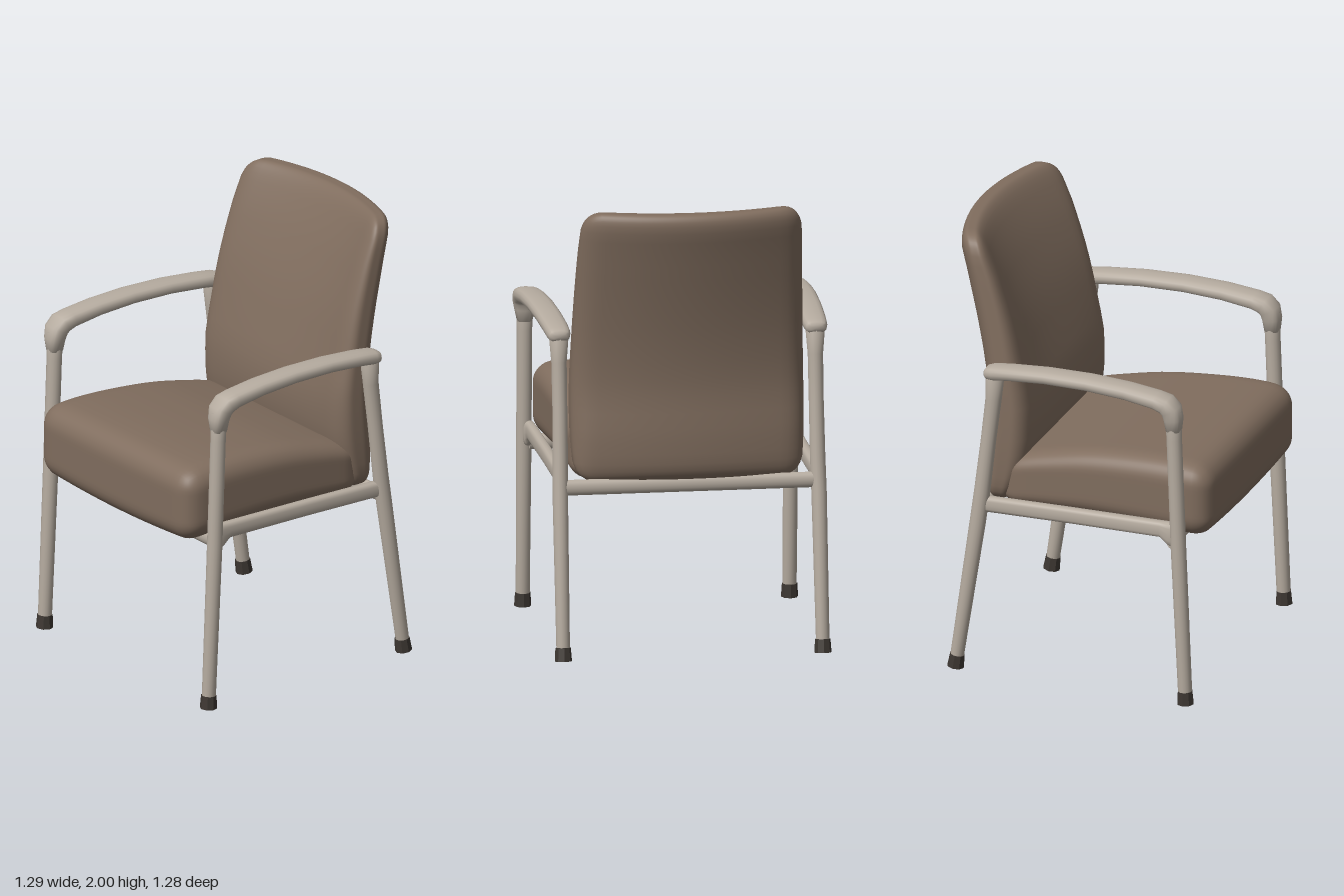
import * as THREE from 'three';
import { mergeVertices } from 'three/addons/utils/BufferGeometryUtils.js';

const fabric = new THREE.MeshStandardMaterial({ color: 0x806d5e });
fabric.name = 'brown upholstery';
const metal = new THREE.MeshStandardMaterial({ color: 0xb6aca0 });
metal.name = 'warm grey frame';
const rubber = new THREE.MeshStandardMaterial({ color: 0x3d3732 });
rubber.name = 'dark rubber';

function part(name, geometry, material) {
  const mesh = new THREE.Mesh(geometry, material);
  mesh.name = name;
  return mesh;
}

// Smooth table of evenly spaced values, read with t from 0 to 1
function table(...values) {
  const curve = new THREE.SplineCurve(values.map((v, i) => new THREE.Vector2(i, v)));
  return (t) => curve.getPoint(THREE.MathUtils.clamp(t, 0, 1)).y;
}

// Rounded box, finer towards its edges, then reshaped by a rule
function cushion(hx, hy, hz, r, warp) {
  let g = new THREE.BoxGeometry(2, 2, 2, 28, 24, 28);
  g.deleteAttribute('uv');
  g.deleteAttribute('normal');
  g = mergeVertices(g, 1e-4);
  const half = new THREE.Vector3(hx, hy, hz);
  const limit = half.clone().subScalar(r);
  const low = limit.clone().negate();
  const p = new THREE.Vector3(), inner = new THREE.Vector3();
  const pos = g.attributes.position;
  for (let i = 0; i < pos.count; i++) {
    p.fromBufferAttribute(pos, i);
    p.set(Math.sin(p.x * Math.PI / 2), Math.sin(p.y * Math.PI / 2), Math.sin(p.z * Math.PI / 2)).multiply(half);
    inner.copy(p).clamp(low, limit);
    p.sub(inner).setLength(r).add(inner).divide(half);
    warp(p);
    pos.setXYZ(i, p.x, p.y, p.z);
  }
  g.computeVertexNormals();
  return g;
}

// Oval tube through sections [x, y, z, half width in x, half thickness]
function ovalTube(sections, sides = 16, power = 1) {
  const pos = [], index = [];
  const last = sections.length - 1;
  const shape = (v) => Math.sign(v) * Math.abs(v) ** power;
  sections.forEach(([x, y, z, hx, ht], i) => {
    const a = sections[Math.max(i - 1, 0)], b = sections[Math.min(i + 1, last)];
    const len = Math.hypot(b[1] - a[1], b[2] - a[2]);
    const ty = (b[1] - a[1]) / len, tz = (b[2] - a[2]) / len;
    for (let j = 0; j < sides; j++) {
      const angle = (j / sides) * Math.PI * 2;
      const s = shape(Math.sin(angle)) * ht;
      pos.push(x + shape(Math.cos(angle)) * hx, y + tz * s, z - ty * s);
    }
  });
  const first = pos.length / 3;
  for (const i of [0, last]) pos.push(...sections[i].slice(0, 3));
  for (let j = 0; j < sides; j++) {
    const k = (j + 1) % sides;
    for (let i = 0; i < last; i++) {
      const a = i * sides, b = a + sides;
      index.push(a + j, a + k, b + k, a + j, b + k, b + j);
    }
    index.push(first, k, j, first + 1, last * sides + j, last * sides + k);
  }
  const g = new THREE.BufferGeometry();
  g.setAttribute('position', new THREE.Float32BufferAttribute(pos, 3));
  g.setIndex(index);
  g.computeVertexNormals();
  return g;
}

function foot(name, x, z, tilt) {
  const g = new THREE.CylinderGeometry(0.034, 0.038, 0.06, 8).toNonIndexed();
  g.computeVertexNormals();
  const mesh = part(name, g, rubber);
  mesh.position.set(x, 0.031, z);
  mesh.rotation.x = tilt;
  return mesh;
}

export function createModel() {
  const chair = new THREE.Group();
  chair.name = 'armchair';

  // Seat: narrows and falls towards the back, underside sags in the middle
  const seatTop = table(0.99, 1.035, 1.075, 1.095, 1.102, 1.09);
  const seatBottom = table(0.735, 0.745, 0.752, 0.75, 0.742, 0.735);
  chair.add(part('seatCushion', cushion(0.55, 0.175, 0.5, 0.1, (p) => {
    const t = (p.z + 1) / 2;
    const bottom = seatBottom(t) + 0.025 * p.x * p.x;
    p.y = THREE.MathUtils.lerp(bottom, seatTop(t), (p.y + 1) / 2);
    p.x *= 0.505 + 0.043 * t;
    p.z = 0.14 + p.z * 0.5;
  }), fabric));

  // Backrest: leans back and wraps forward at the sides near the top
  const backFront = table(-0.31, -0.24, -0.232, -0.285, -0.35, -0.435, -0.53);
  const backRear = table(-0.475, -0.482, -0.475, -0.5, -0.545, -0.6, -0.655);
  const halfWidth = table(0.5, 0.512, 0.513, 0.507, 0.5, 0.492, 0.48);
  chair.add(part('backrest', cushion(0.5, 0.615, 0.12, 0.09, (p) => {
    const t = (p.y + 1) / 2, side = p.x * p.x;
    const front = backFront(t) + side * 0.1 * Math.max(0, (t - 0.3) / 0.7);
    const rear = backRear(t) + side * (0.05 + 0.06 * t);
    p.z = THREE.MathUtils.lerp(rear, front, (p.z + 1) / 2);
    p.x *= halfWidth(t);
    p.y = 0.77 + 1.23 * t;
  }), fabric));

  for (const [side, s] of [['left', 1], ['right', -1]]) {
    const tube = (name, sections, power) => chair.add(part(side + name,
      ovalTube(sections.map(([x, ...rest]) => [x * s, ...rest]), 16, power), metal));

    // Legs with rubber feet
    tube('FrontLeg', [
      [0.588, 0.05, 0.553, 0.031, 0.031], [0.588, 0.75, 0.521, 0.034, 0.034],
      [0.588, 1.25, 0.502, 0.034, 0.034], [0.588, 1.38, 0.498, 0.04, 0.036],
    ]);
    tube('RearLeg', [
      [0.572, 0.05, -0.521, 0.03, 0.03], [0.57, 0.7, -0.425, 0.034, 0.036],
      [0.567, 0.85, -0.405, 0.034, 0.036], [0.565, 1.1, -0.376, 0.033, 0.034],
      [0.565, 1.3, -0.352, 0.034, 0.036], [0.565, 1.42, -0.345, 0.044, 0.042],
    ]);
    chair.add(foot(side + 'FrontFoot', 0.588 * s, 0.554, -0.045));
    chair.add(foot(side + 'RearFoot', 0.572 * s, -0.523, 0.145));

    // Arched armrest that turns down onto the front leg
    tube('Armrest', [
      [0.588, 1.29, 0.5, 0.034, 0.034], [0.588, 1.345, 0.499, 0.046, 0.041],
      [0.588, 1.385, 0.49, 0.055, 0.043], [0.588, 1.41, 0.465, 0.058, 0.041],
      [0.587, 1.423, 0.42, 0.058, 0.036], [0.584, 1.442, 0.28, 0.058, 0.033],
      [0.58, 1.452, 0.1, 0.058, 0.031], [0.574, 1.449, -0.1, 0.057, 0.03],
      [0.568, 1.435, -0.27, 0.055, 0.031], [0.566, 1.425, -0.35, 0.052, 0.032],
      [0.566, 1.421, -0.378, 0.045, 0.026], [0.566, 1.42, -0.388, 0.03, 0.015],
    ], 0.75);

    // Side rail with a flared joint at the front leg
    tube('SideRail', [
      [0.575, 0.785, 0.515, 0.027, 0.06], [0.568, 0.79, 0.475, 0.026, 0.054],
      [0.565, 0.803, 0.43, 0.025, 0.037], [0.56, 0.797, 0, 0.025, 0.036],
      [0.56, 0.79, -0.41, 0.025, 0.036],
    ], 0.7);
  }

  // Cross rails under the seat
  for (const [name, z, width] of [['frontRail', 0.48, 1.14], ['rearRail', -0.42, 1.12]]) {
    const g = new THREE.CylinderGeometry(1, 1, width, 16).rotateZ(Math.PI / 2).scale(1, 0.035, 0.023);
    const rail = part(name, g, metal);
    rail.position.set(0, 0.752, z);
    chair.add(rail);
  }
  return chair;
}
